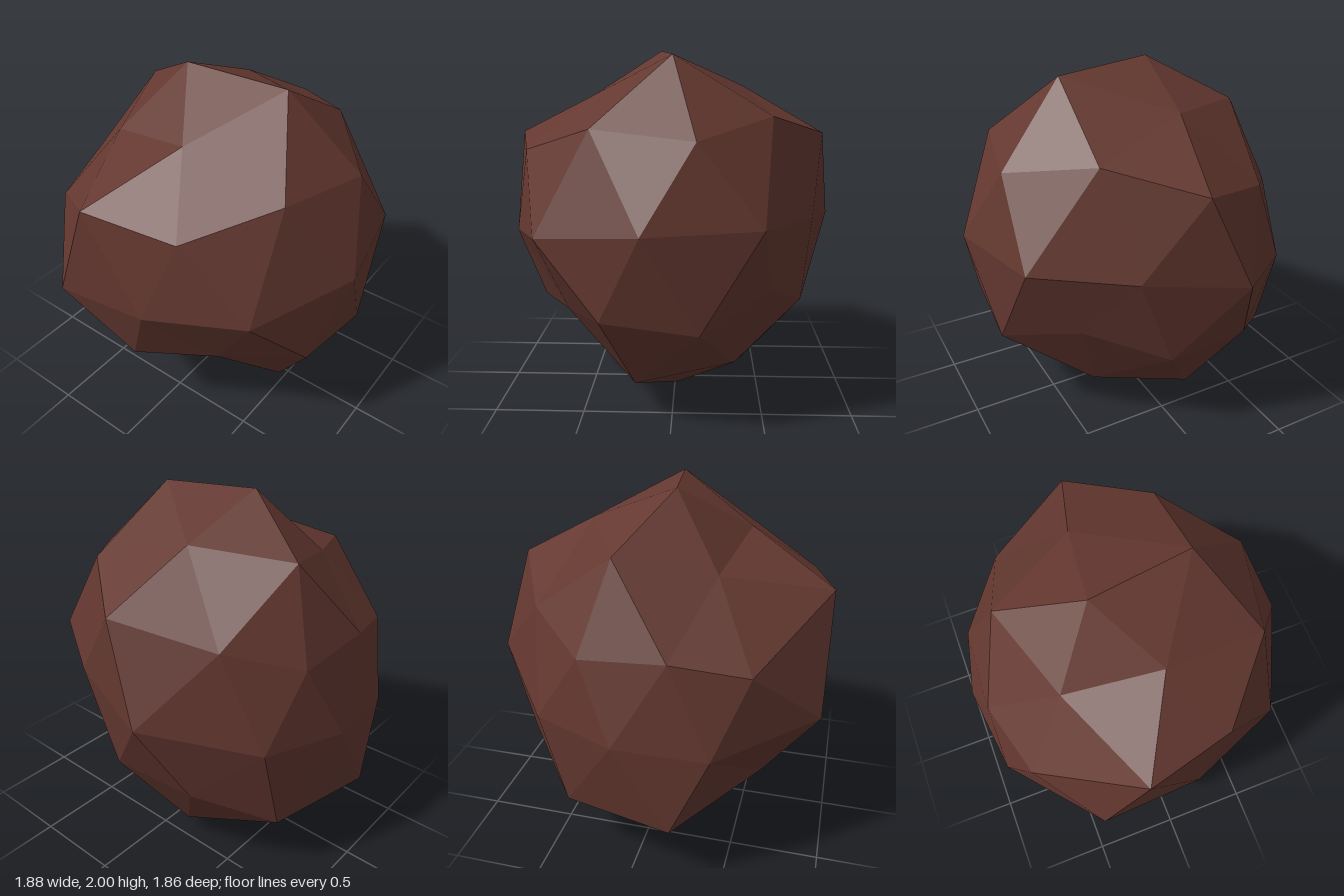
import * as THREE from 'three';

// Cross-section loops of the boulder from top to bottom, each running from +x towards +z.
const crown = [-0.09, 2, -0.19];
const upperCap = [[0.39, 1.8, -0.13], [0, 1.97, 0.38], [-0.46, 1.75, 0.07], [-0.37, 1.64, -0.45], [0.13, 1.75, -0.63]];
const shoulder = [
  [0.86, 1.53, -0.02], [0.53, 1.65, 0.41], [0.13, 1.55, 0.77], [-0.41, 1.6, 0.65], [-0.81, 1.46, 0.31],
  [-0.94, 1.52, -0.19], [-0.6, 1.23, -0.72], [-0.2, 1.31, -0.83], [0.27, 1.27, -0.81], [0.6, 1.4, -0.52],
];
const waist = [
  [0.77, 1.09, 0.31], [0.47, 1.12, 0.8], [-0.14, 1.11, 0.93], [-0.71, 1.04, 0.67], [-0.92, 0.97, 0.14],
  [-0.94, 0.89, -0.44], [-0.43, 0.81, -0.87], [0.07, 0.85, -0.93], [0.53, 0.87, -0.76], [0.94, 1.01, -0.25],
];
const flank = [
  [0.75, 0.55, 0.1], [0.53, 0.73, 0.52], [0.15, 0.59, 0.85], [-0.36, 0.64, 0.81], [-0.59, 0.57, 0.38],
  [-0.81, 0.52, -0.05], [-0.64, 0.48, -0.4], [-0.23, 0.36, -0.91], [0.39, 0.35, -0.76], [0.71, 0.55, -0.41],
];
const lowerCap = [[0.35, 0.26, 0.38], [-0.2, 0.2, 0.55], [-0.42, 0.27, -0.08], [-0.08, 0.08, -0.43], [0.48, 0.12, -0.18]];
const foot = [0.02, 0, 0.09];

const at = (loop, i) => loop[(i + loop.length) % loop.length];

export function createModel() {
  const positions = [];
  const face = (...corners) => corners.forEach((p) => positions.push(...p));

  // Five-sided caps, fanned from the crown and foot and stitched to the ten-sided loops
  for (let k = 0; k < 5; k++) {
    const u = at(upperCap, k), uNext = at(upperCap, k + 1);
    face(crown, uNext, u);
    face(u, uNext, at(shoulder, 2 * k + 1));
    face(u, at(shoulder, 2 * k + 1), at(shoulder, 2 * k));
    face(u, at(shoulder, 2 * k), at(shoulder, 2 * k - 1));

    const l = at(lowerCap, k), lNext = at(lowerCap, k + 1);
    face(foot, l, lNext);
    face(l, at(flank, 2 * k + 2), lNext);
    face(l, at(flank, 2 * k), at(flank, 2 * k + 1));
    face(l, at(flank, 2 * k + 1), at(flank, 2 * k + 2));
  }

  // Zigzag bands above and below the waist
  for (let j = 0; j < 10; j++) {
    const w = at(waist, j), wNext = at(waist, j + 1);
    face(at(shoulder, j), at(shoulder, j + 1), w);
    face(at(shoulder, j + 1), wNext, w);
    face(w, wNext, at(flank, j + 1));
    face(w, at(flank, j + 1), at(flank, j));
  }

  const geometry = new THREE.BufferGeometry();
  geometry.setAttribute('position', new THREE.Float32BufferAttribute(positions, 3));
  geometry.computeVertexNormals();

  const stone = new THREE.MeshStandardMaterial({ color: 0x643830, flatShading: true });
  stone.name = 'reddish brown stone';
  const boulder = new THREE.Mesh(geometry, stone);
  boulder.name = 'boulder';

  const group = new THREE.Group();
  group.name = 'rock';
  group.add(boulder);
  return group;
}
